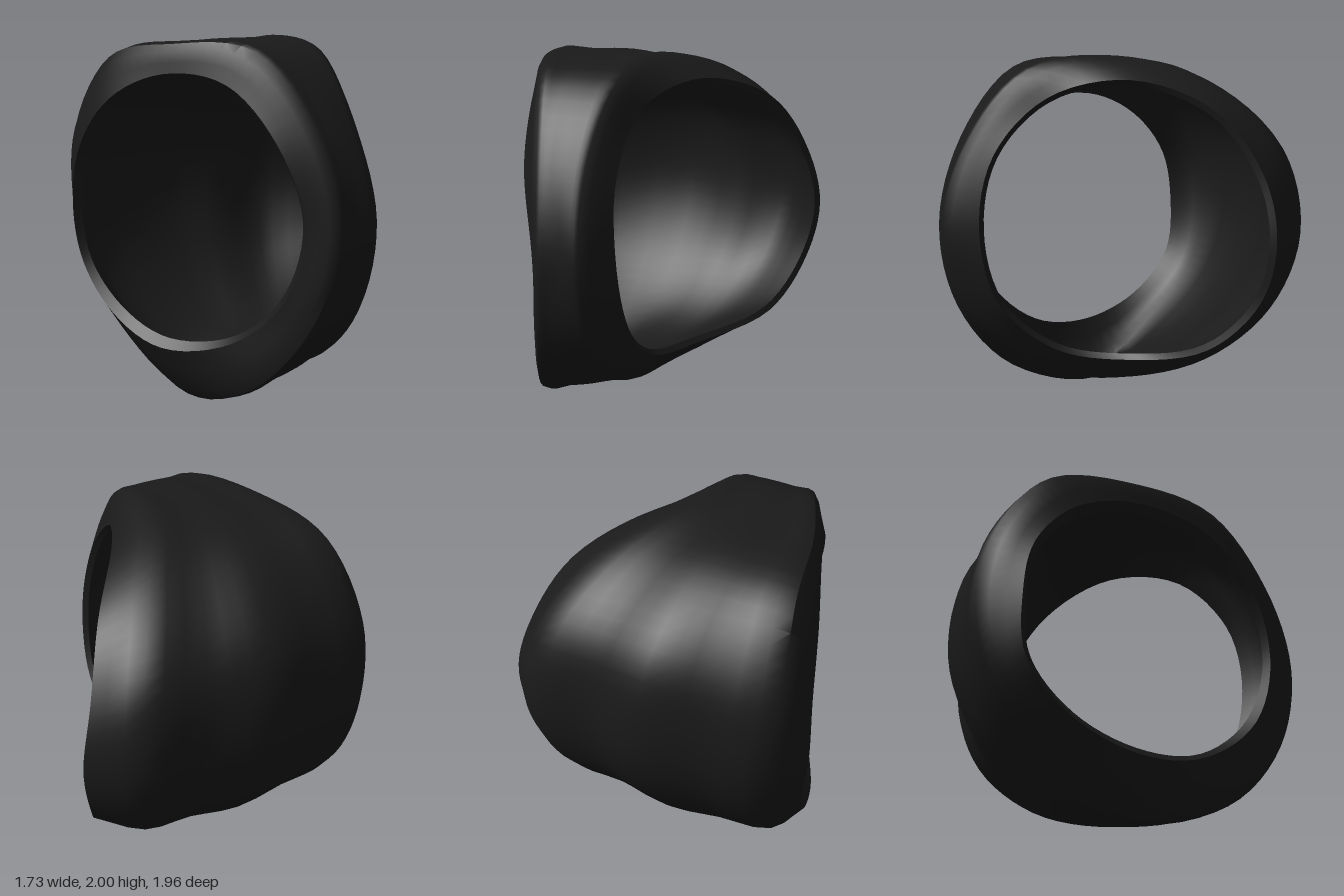
import * as THREE from 'three';
import { toCreasedNormals } from 'three/addons/utils/BufferGeometryUtils.js';

// Cross-sections every 30 degrees, from the front over the top to the back and under.
// left lip x,r | left edge x,r | left shoulder x,r | middle r | right quarter r | right shoulder x,r | right rim x,r
const SECTIONS = [
  [-0.30, 0.78, -0.32, 0.82, -0.22, 0.97, 0.97, 0.98, 0.02, 0.98, 0.15, 0.80],
  [-0.38, 0.77, -0.41, 0.81, -0.27, 0.96, 0.97, 0.97, 0.00, 0.96, 0.12, 0.82],
  [-0.47, 0.75, -0.51, 0.80, -0.40, 1.00, 1.01, 1.01, 0.04, 1.00, 0.15, 0.83],
  [-0.60, 0.70, -0.65, 0.74, -0.60, 0.90, 0.93, 0.93, 0.10, 0.94, 0.34, 0.82],
  [-0.73, 0.65, -0.78, 0.69, -0.70, 0.95, 0.98, 0.94, 0.36, 0.92, 0.62, 0.77],
  [-0.80, 0.62, -0.85, 0.65, -0.76, 0.88, 1.03, 0.95, 0.58, 0.91, 0.78, 0.69],
  [-0.82, 0.60, -0.87, 0.62, -0.72, 0.85, 0.97, 0.88, 0.63, 0.88, 0.86, 0.65],
  [-0.79, 0.65, -0.83, 0.68, -0.68, 0.85, 0.92, 0.87, 0.55, 0.86, 0.80, 0.68],
  [-0.72, 0.67, -0.77, 0.71, -0.62, 0.88, 0.92, 0.88, 0.40, 0.85, 0.65, 0.71],
  [-0.62, 0.71, -0.67, 0.76, -0.50, 1.05, 0.94, 0.91, 0.15, 0.88, 0.33, 0.73],
  [-0.44, 0.75, -0.48, 0.79, -0.42, 1.05, 1.00, 0.96, 0.08, 0.93, 0.20, 0.78],
  [-0.33, 0.77, -0.36, 0.82, -0.28, 1.00, 0.99, 0.98, 0.03, 0.97, 0.18, 0.81],
];
const AROUND = 72;
const HOLE_Y = 1.05;
const WALL = 0.07;

const smooth = (points, steps) => new THREE.CatmullRomCurve3(
  points.map(([x, r]) => new THREE.Vector3(x, r, 0))).getPoints(steps);

// Closed outline of one section: rounded outside, narrow rims, hollowed inside
function outline([ix, ir, lx, lr, sx, sr, mr, qr, tx, tr, rx, rr]) {
  const mx = (sx + tx) / 2;
  const qx = (mx + tx) / 2;
  const outside = smooth(
    [[lx, lr], [sx, sr], [(sx + mx) / 2, (sr + mr) / 2], [mx, mr], [qx, qr], [tx, tr], [rx, rr]], 18);
  const inside = smooth([
    [rx - 0.025, rr - 0.03], [tx - 0.04, tr - WALL], [qx, qr - WALL],
    [mx, mr - WALL], [sx + 0.04, sr - WALL], [ix, ir],
  ], 15);
  return [...outside, ...inside];
}

function bandGeometry() {
  const outlines = SECTIONS.map(outline);
  const count = outlines[0].length;
  const positions = [];
  const index = [];
  // One smooth closed curve around the ring for every outline point
  for (let i = 0; i < count; i++) {
    const curve = new THREE.CatmullRomCurve3(outlines.map((points, k) => {
      const a = (k / SECTIONS.length) * Math.PI * 2;
      const { x, y: r } = points[i];
      return new THREE.Vector3(x, HOLE_Y + r * Math.sin(a), r * Math.cos(a));
    }), true);
    for (let j = 0; j < AROUND; j++) {
      const p = curve.getPoint(j / AROUND);
      positions.push(p.x, p.y, p.z);
    }
  }
  for (let i = 0; i < count; i++) {
    for (let j = 0; j < AROUND; j++) {
      const i2 = (i + 1) % count;
      const j2 = (j + 1) % AROUND;
      const a = i * AROUND + j, b = i2 * AROUND + j;
      const c = i2 * AROUND + j2, d = i * AROUND + j2;
      index.push(a, b, c, a, c, d);
    }
  }
  const geometry = new THREE.BufferGeometry();
  geometry.setAttribute('position', new THREE.Float32BufferAttribute(positions, 3));
  geometry.setIndex(index);
  return toCreasedNormals(geometry, 0.7);
}

export function createModel() {
  const group = new THREE.Group();
  group.name = 'ring';
  const black = new THREE.MeshStandardMaterial({ color: 0x1a1a1a });
  black.name = 'matte black';

  // Tapered hollow band, narrow at the front and wide at the back
  const band = new THREE.Mesh(bandGeometry(), black);
  band.name = 'band';
  group.add(band);
  return group;
}
